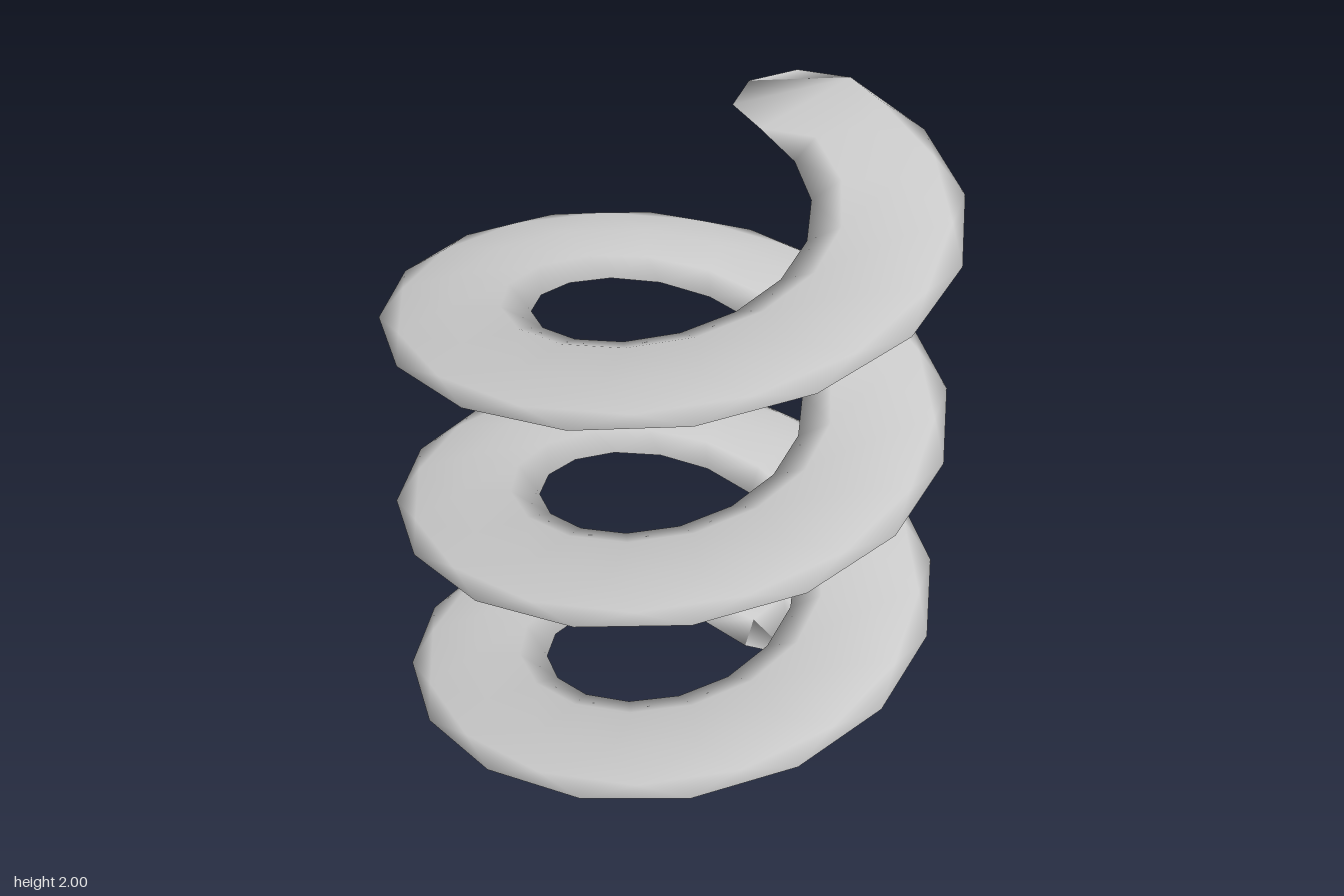
import * as THREE from 'three';

const TURNS = 3, STEPS = 48, SIDES = 8;
const HEIGHT = 2, COIL_RADIUS = 0.622, WIRE_RADIUS = 0.22;

// A horizontal octagon raised in steps while it turns about the y axis
function coilGeometry() {
  const points = [], index = [];
  for (let s = 0; s <= STEPS; s++) {
    const turn = (s / STEPS) * TURNS * Math.PI * 2;
    for (let i = 0; i < SIDES; i++) {
      const a = (i / SIDES) * Math.PI * 2;
      const out = COIL_RADIUS + WIRE_RADIUS * Math.cos(a);
      const along = WIRE_RADIUS * Math.sin(a);
      points.push(new THREE.Vector3(
        -out * Math.sin(turn) - along * Math.cos(turn),
        (s / STEPS) * HEIGHT,
        -out * Math.cos(turn) + along * Math.sin(turn)));
    }
  }

  // Walls, each quad split along its shorter diagonal
  for (let s = 0; s < STEPS; s++) {
    for (let i = 0; i < SIDES; i++) {
      const j = (i + 1) % SIDES;
      const a = s * SIDES + i, b = s * SIDES + j;
      const c = b + SIDES, d = a + SIDES;
      if (points[a].distanceTo(points[c]) < points[b].distanceTo(points[d])) {
        index.push(a, b, c, a, c, d);
      } else {
        index.push(a, b, d, b, c, d);
      }
    }
  }

  // Flat ends, sharing the wall vertices so the shading stays smooth
  const top = STEPS * SIDES;
  for (let i = 1; i < SIDES - 1; i++) {
    index.push(0, i + 1, i);
    index.push(top, top + i, top + i + 1);
  }

  const geometry = new THREE.BufferGeometry().setFromPoints(points);
  geometry.setIndex(index);
  geometry.computeVertexNormals();
  return geometry;
}

export function createModel() {
  const grey = new THREE.MeshStandardMaterial({ color: 0xcccccc });
  grey.name = 'lightGrey';

  const coil = new THREE.Mesh(coilGeometry(), grey);
  coil.name = 'springCoil';

  const group = new THREE.Group();
  group.name = 'spring';
  group.add(coil);
  return group;
}
